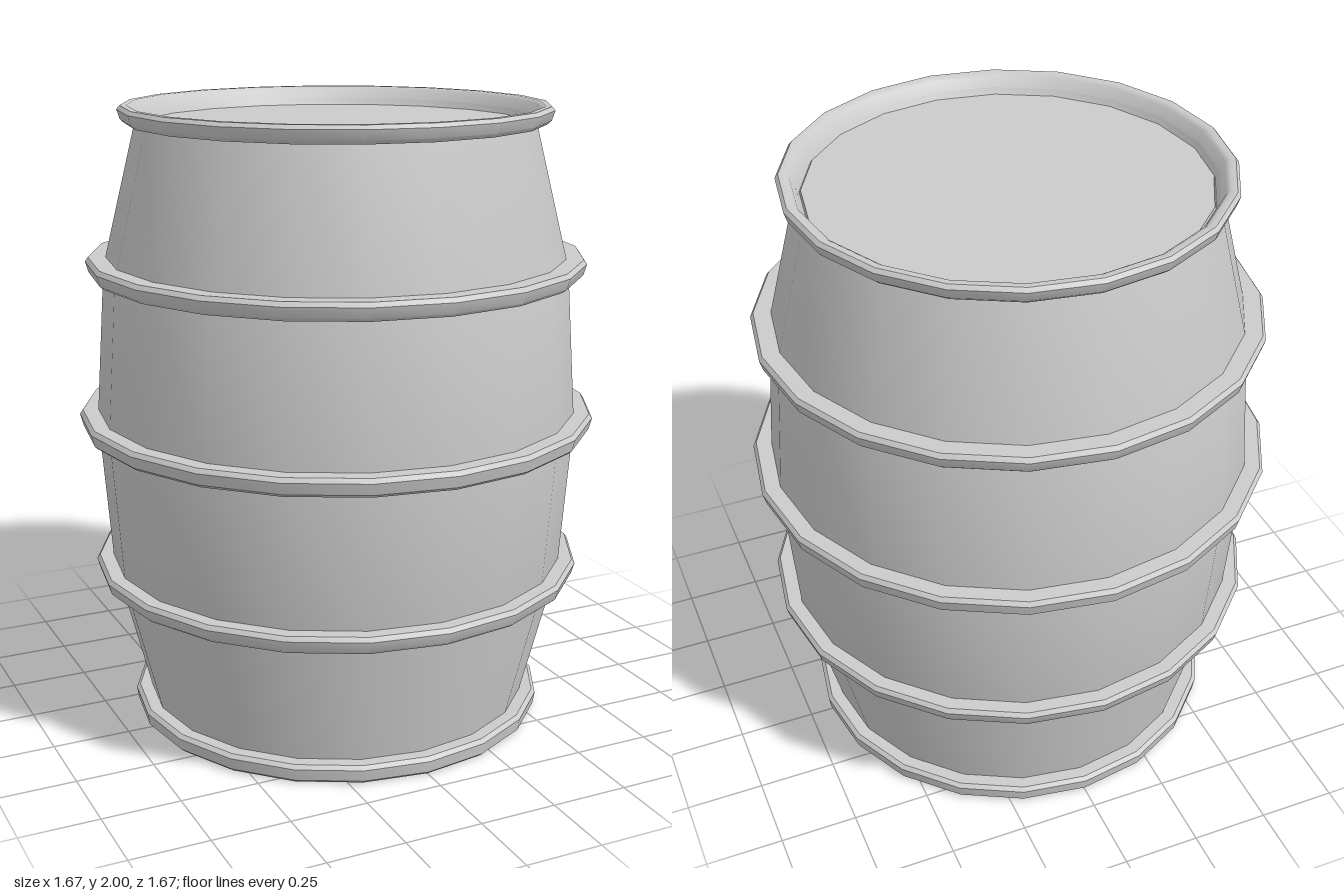
import * as THREE from 'three';
import { toCreasedNormals } from 'three/addons/utils/BufferGeometryUtils.js';

const SIDES = 20;

export function createModel() {
  const group = new THREE.Group();
  group.name = 'barrel';
  const material = new THREE.MeshStandardMaterial({ color: 0xcccccc });

  // Spin a [radius, height] profile, smooth around but sharp at its corners
  function addTurned(name, profile) {
    const points = profile.map(([r, y]) => new THREE.Vector2(r, y));
    const geometry = toCreasedNormals(new THREE.LatheGeometry(points, SIDES), 0.6);
    const mesh = new THREE.Mesh(geometry, material);
    mesh.name = name;
    group.add(mesh);
  }

  // Bulging staves, closed by the flat bottom and the sunken lid
  addTurned('body', [
    [0, 0.004], [0.62, 0.004], [0.625, 0.04], [0.74, 0.5], [0.776, 1],
    [0.74, 1.5], [0.625, 1.96], [0.615, 1.94], [0, 1.94],
  ]);

  // Hoops with bevelled outer edges, slightly narrower at the lower edge
  function addHoop(name, inner, outer, bottom, top) {
    addTurned(name, [
      [inner, bottom], [outer - 0.022, bottom], [outer - 0.01, bottom + 0.01],
      [outer, top - 0.014], [outer - 0.01, top], [inner, top], [inner, bottom],
    ]);
  }
  addHoop('lowerHoop', 0.7, 0.797, 0.477, 0.535);
  addHoop('middleHoop', 0.73, 0.833, 0.972, 1.033);
  addHoop('upperHoop', 0.7, 0.797, 1.472, 1.53);

  // Bottom hoop, filled so the underside is one flat disc
  addTurned('bottomHoop', [
    [0, 0], [0.665, 0], [0.676, 0.01], [0.682, 0.048], [0.67, 0.06], [0.6, 0.06],
  ]);

  // Top rim, its inside sloping down to the lid
  addTurned('topRim', [
    [0.61, 1.945], [0.658, 1.945], [0.672, 1.957], [0.682, 1.988],
    [0.672, 2], [0.652, 2], [0.64, 1.992], [0.615, 1.938], [0.61, 1.945],
  ]);

  return group;
}
